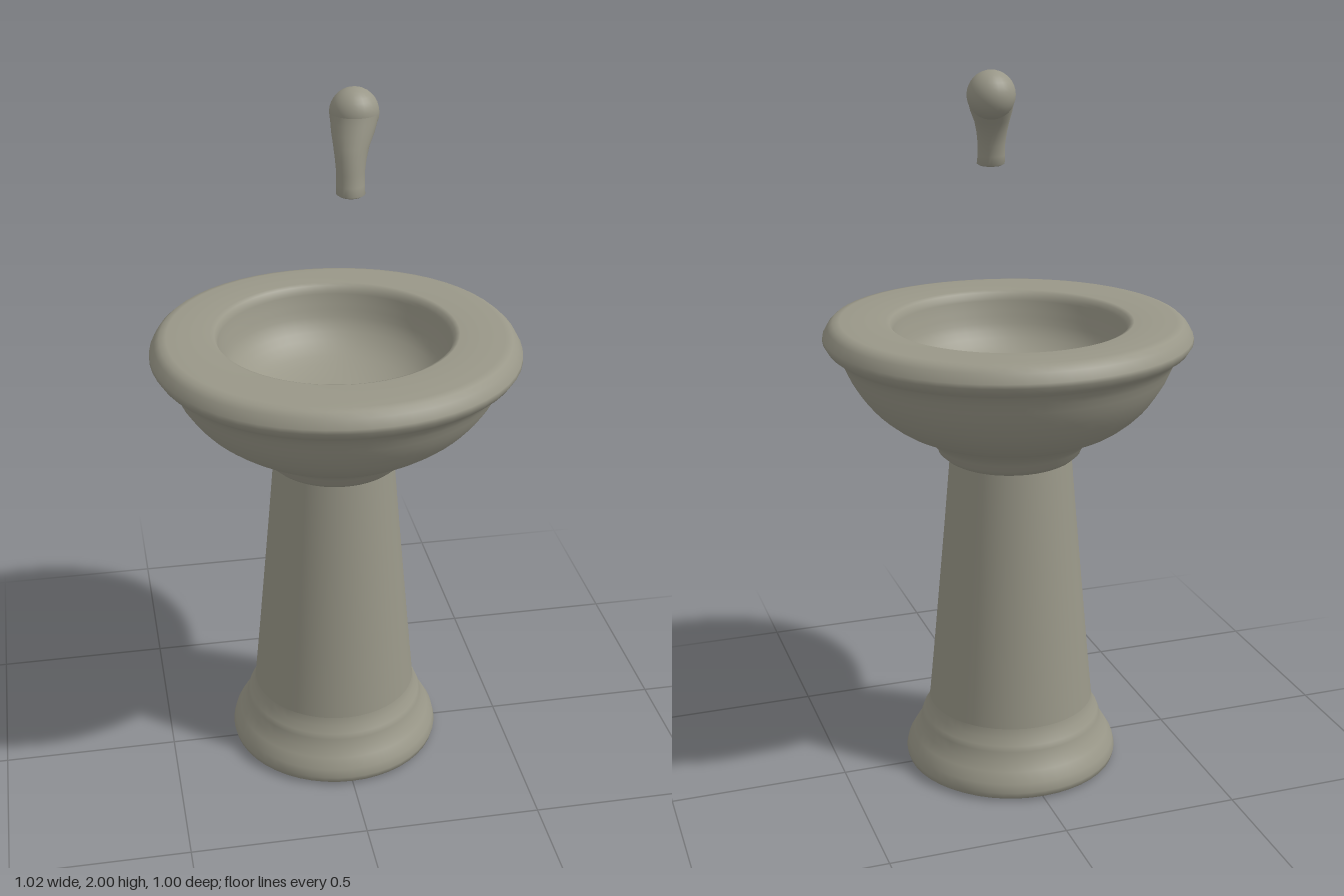
import * as THREE from 'three';

const glaze = new THREE.MeshStandardMaterial({ color: 0x999788 });
glaze.name = 'stone grey glaze';
const dark = new THREE.MeshStandardMaterial({ color: 0x3c3d36 });
dark.name = 'dark underside';

function part(name, geometry, material = glaze) {
  const mesh = new THREE.Mesh(geometry, material);
  mesh.name = name;
  return mesh;
}

function turned(name, profile, segments = 48) {
  const points = profile.map(([r, y]) => new THREE.Vector2(r, y));
  return part(name, new THREE.LatheGeometry(points, segments));
}

// Smooth curve through a few profile points
function smooth(points, steps) {
  const curve = new THREE.SplineCurve(points.map(([r, y]) => new THREE.Vector2(r, y)));
  return curve.getPoints(steps).map((p) => [Math.max(p.x, 0), p.y]);
}

// Loft of level rings: each entry is [x, y, z, radius]
function loft(rings, sides) {
  const positions = [], index = [];
  for (const [x, y, z, r] of rings) {
    for (let i = 0; i < sides; i++) {
      const a = (i / sides) * Math.PI * 2;
      positions.push(x + r * Math.sin(a), y, z + r * Math.cos(a));
    }
  }
  for (let j = 0; j < rings.length - 1; j++) {
    for (let i = 0; i < sides; i++) {
      const a = j * sides + i, b = j * sides + (i + 1) % sides;
      index.push(a, b, b + sides, a, b + sides, a + sides);
    }
  }
  const g = new THREE.BufferGeometry();
  g.setAttribute('position', new THREE.Float32BufferAttribute(positions, 3));
  g.setIndex(index);
  g.computeVertexNormals();
  return g;
}

export function createModel() {
  const model = new THREE.Group();
  model.name = 'pedestalBasin';

  // Pedestal: flared foot and tapering column, set slightly back
  const pedestal = new THREE.Group();
  pedestal.name = 'pedestal';
  pedestal.position.set(-0.003, 0, -0.017);
  pedestal.add(turned('foot', [
    [0.292, 0], [0.304, 0.008], [0.308, 0.025], [0.302, 0.05], [0.285, 0.08],
    [0.268, 0.103], [0.262, 0.13], [0.256, 0.145], [0.243, 0.165], [0.238, 0.19],
  ]));
  pedestal.add(turned('column', [[0.238, 0.19], [0.222, 0.36], [0.205, 0.55], [0.188, 0.74], [0.171, 0.94]]));
  const underside = part('footUnderside', new THREE.CircleGeometry(0.292, 48), dark);
  underside.rotation.x = Math.PI / 2;
  pedestal.add(underside);
  model.add(pedestal);

  // Bowl: collar, outer shell, rolled rim and hollow inside
  const shell = smooth([[0.225, 0.985], [0.26, 1.01], [0.32, 1.04], [0.38, 1.09], [0.425, 1.155], [0.452, 1.215], [0.472, 1.242]], 16);
  const hollow = smooth([[0.323, 1.305], [0.313, 1.265], [0.29, 1.205], [0.23, 1.15], [0.13, 1.115], [0, 1.105]], 16);
  const bowl = turned('bowl', [
    [0.165, 0.925], [0.182, 0.934], [0.2, 0.95], [0.207, 0.968], ...shell,
    [0.49, 1.254], [0.501, 1.272], [0.5, 1.284], [0.487, 1.308], [0.473, 1.321],
    [0.455, 1.325], [0.4, 1.325], [0.342, 1.324], [0.33, 1.319], ...hollow,
  ], 56);
  // The rim is slightly wider than deep, full at the diagonals, and sits forward of the hollow
  const pos = bowl.geometry.attributes.position;
  for (let i = 0; i < pos.count; i++) {
    const x = pos.getX(i), z = pos.getZ(i);
    const r = Math.hypot(x, z);
    const rim = THREE.MathUtils.smoothstep(r, 0.33, 0.48);
    const full = 1 + 0.012 * rim * Math.sin(2 * Math.atan2(z, x)) ** 2;
    pos.setX(i, x * full * (1 + 0.018 * rim));
    pos.setZ(i, z * full - 0.016 * (1 - rim));
  }
  model.add(bowl);

  // Spout floating above the bowl: bent neck, round head and closed mouth
  const spout = new THREE.Group();
  spout.name = 'spout';
  const bend = [
    [0.028, 1.737, 0.062, 0.03], [0.028, 1.742, 0.061, 0.038], [0.028, 1.765, 0.056, 0.037],
    [0.029, 1.795, 0.051, 0.037], [0.031, 1.83, 0.042, 0.041], [0.035, 1.86, 0.028, 0.047],
    [0.042, 1.89, 0.011, 0.056], [0.047, 1.915, -0.002, 0.061], [0.05, 1.936, -0.011, 0.0645],
  ];
  spout.add(part('spoutNeck', loft(bend, 24)));
  const head = part('spoutHead', new THREE.SphereGeometry(0.065, 24, 16));
  head.position.set(0.05, 1.935, -0.012);
  spout.add(head);
  const mouth = part('spoutMouth', new THREE.CircleGeometry(0.03, 24));
  mouth.rotation.x = Math.PI / 2;
  mouth.position.set(0.028, 1.737, 0.062);
  spout.add(mouth);
  model.add(spout);

  return model;
}
